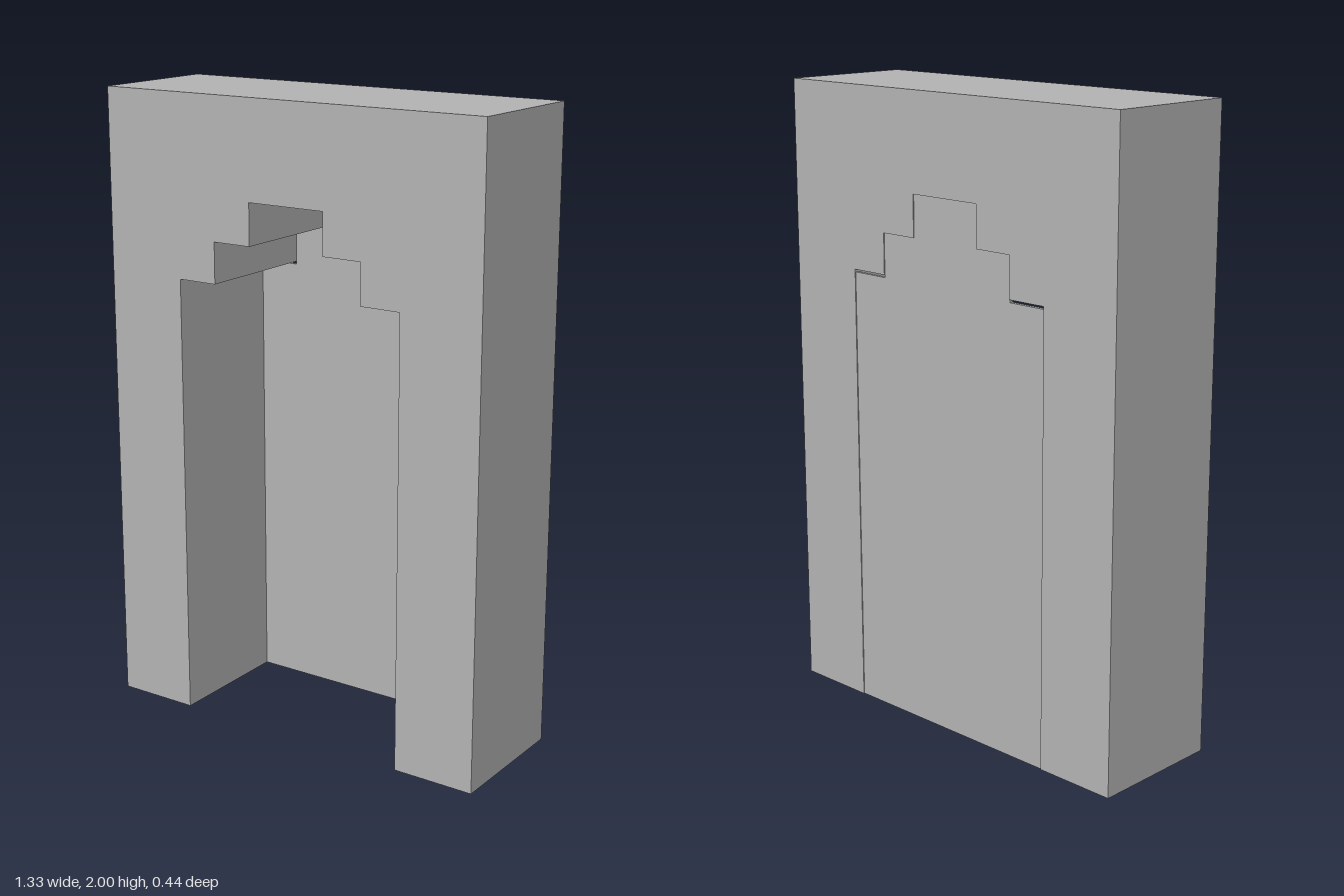
import * as THREE from 'three';

// Half-profile of the stepped arch, from the right foot up to the crown
function archPoints(shoulderY) {
  const half = [[0.398, 0], [0.398, shoulderY], [0.264, shoulderY], [0.264, 1.56], [0.132, 1.56], [0.132, 1.692]];
  return [...half, ...half.map(([x, y]) => [-x, y]).reverse()].map(([x, y]) => new THREE.Vector2(x, y));
}

function slab(name, points, zBack, depth, material) {
  const geometry = new THREE.ExtrudeGeometry(new THREE.Shape(points), { depth, bevelEnabled: false });
  geometry.translate(0, 0, zBack);
  const mesh = new THREE.Mesh(geometry, material);
  mesh.name = name;
  return mesh;
}

export function createModel() {
  const group = new THREE.Group();
  group.name = 'steppedArchNiche';
  const stone = new THREE.MeshStandardMaterial({ color: 0xb2b2b2 });
  stone.name = 'grey stone';

  // Thick wall with the stepped doorway cut up from its base
  const outline = [
    new THREE.Vector2(0.667, 0), new THREE.Vector2(0.667, 2),
    new THREE.Vector2(-0.667, 2), new THREE.Vector2(-0.667, 0),
    ...archPoints(1.43).reverse(),
  ];
  group.add(slab('wall', outline, -0.22, 0.44, stone));

  // Thin panel closing the back, with a hairline gap above its shoulders
  group.add(slab('backPanel', archPoints(1.421), -0.217, 0.012, stone));
  return group;
}
